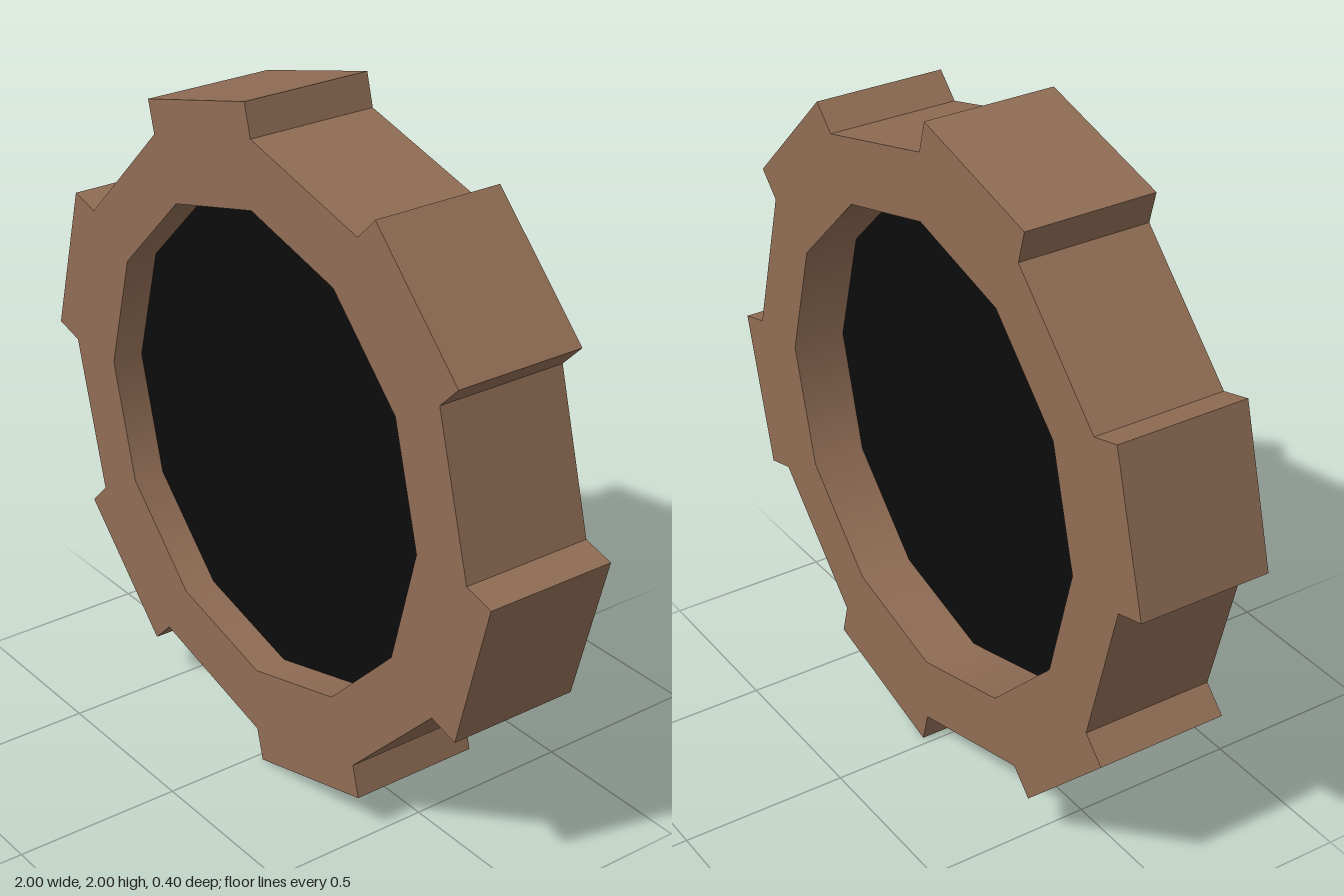
import * as THREE from 'three';

const SIDES = 12, OUTER = 0.907, INNER = 0.708, TOOTH = 0.098, DEPTH = 0.4;

// point at a given angle (in twelfths of a turn)
const polar = (radius, step) => {
  const a = (step / SIDES) * Math.PI * 2;
  return new THREE.Vector2(Math.cos(a) * radius, Math.sin(a) * radius);
};

export function createModel() {
  const brown = new THREE.MeshStandardMaterial({ color: 0x8f6c54 });
  brown.name = 'brown';
  const black = new THREE.MeshStandardMaterial({ color: 0x0c0c0c });
  black.name = 'black';

  const model = new THREE.Group();
  model.name = 'gearWheel';
  const add = (name, geometry, material) => {
    const mesh = new THREE.Mesh(geometry, material);
    mesh.name = name;
    mesh.position.y = 1;
    model.add(mesh);
  };

  // toothed ring: every second side of the twelve is pushed straight out
  const outline = [];
  for (let i = 0; i < SIDES; i++) {
    outline.push(polar(OUTER, i));
    if (i % 2 === 1) {
      const push = polar(TOOTH, i + 0.5);
      outline.push(polar(OUTER, i).add(push), polar(OUTER, i + 1).add(push));
    }
  }
  const ring = new THREE.Shape(outline);
  const hole = [];
  for (let i = 0; i < SIDES; i++) hole.push(polar(INNER + 0.001, -i));
  ring.holes.push(new THREE.Path(hole));
  const ringGeometry = new THREE.ExtrudeGeometry(ring, { depth: DEPTH, bevelEnabled: false });
  ringGeometry.translate(0, 0, -DEPTH / 2);
  add('toothedRing', ringGeometry, brown);

  // smooth inner wall, facing the axis
  const wall = new THREE.LatheGeometry(
    [new THREE.Vector2(INNER, DEPTH / 2), new THREE.Vector2(INNER, -DEPTH / 2)], SIDES);
  wall.rotateX(Math.PI / 2);
  add('innerWall', wall, brown);

  // recessed disc, set slightly towards the front
  const disc = new THREE.CylinderGeometry(INNER, INNER, 0.14, SIDES);
  disc.rotateX(Math.PI / 2).translate(0, 0, 0.033);
  add('centreDisc', disc, black);

  return model;
}
